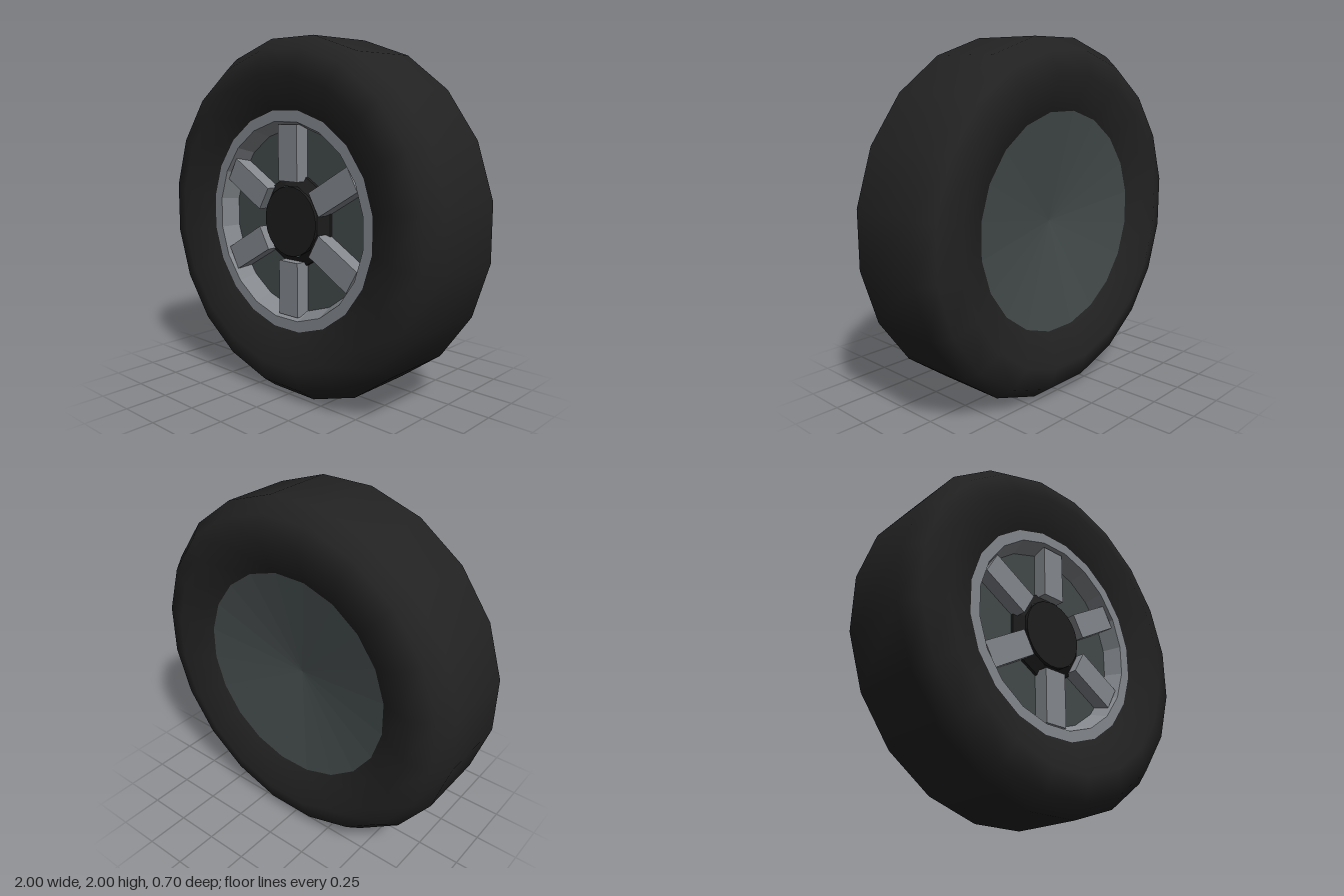
import * as THREE from 'three';

const tyreRubber = new THREE.MeshStandardMaterial({ color: 0x222222 });
const hubBlack = new THREE.MeshStandardMaterial({ color: 0x1d1d1d });
const rimMetal = new THREE.MeshStandardMaterial({ color: 0x84888d });
const discGrey = new THREE.MeshStandardMaterial({ color: 0x434a4a });

// Revolves [radius, z] points about the z axis; radii are measured to the flats.
function turned(name, profile, sides, material, smooth = false) {
  const half = Math.PI / sides;
  const points = profile.map(([r, z]) => new THREE.Vector2(r / Math.cos(half), z));
  let geometry = new THREE.LatheGeometry(points, sides, half);
  geometry.rotateX(Math.PI / 2);
  if (!smooth) {
    geometry = geometry.toNonIndexed();
    geometry.computeVertexNormals();
  }
  const mesh = new THREE.Mesh(geometry, material);
  mesh.name = name;
  return mesh;
}

export function createModel() {
  const wheel = new THREE.Group();
  wheel.name = 'wheel';

  // Tyre with rounded shoulders and dished sidewalls
  const side = [[1, 0.21], [0.93, 0.305], [0.8, 0.35], [0.61, 0.265]];
  const back = side.map(([r, z]) => [r, -z]).reverse();
  wheel.add(turned('tyre', [...back, ...side], 20, tyreRubber, true));

  // Rim ring with its sloping inner wall, and the discs in front and behind
  wheel.add(turned('rim', [[0.61, 0.265], [0.55, 0.265], [0.51, 0.165]], 20, rimMetal));
  wheel.add(turned('frontDisc', [[0.51, 0.165], [0, 0.165]], 20, discGrey));
  wheel.add(turned('backDisc', [[0, -0.175], [0.61, -0.265]], 20, discGrey));

  // Hub: tapered base and round cap
  wheel.add(turned('hubBase', [[0.255, 0.14], [0.25, 0.18], [0.195, 0.22]], 12, hubBlack));
  wheel.add(turned('hubCap', [[0.195, 0.15], [0.195, 0.235], [0, 0.235]], 24, hubBlack));

  // Six spokes
  const spokeShape = new THREE.BoxGeometry(0.144, 0.31, 0.1);
  spokeShape.translate(0, 0.38, 0.2);
  for (let i = 0; i < 6; i++) {
    const spoke = new THREE.Mesh(spokeShape, rimMetal);
    spoke.name = 'spoke' + (i + 1);
    spoke.rotation.z = (i * Math.PI) / 3;
    wheel.add(spoke);
  }

  wheel.position.y = 1;
  const model = new THREE.Group();
  model.name = 'wheelModel';
  model.add(wheel);
  return model;
}
